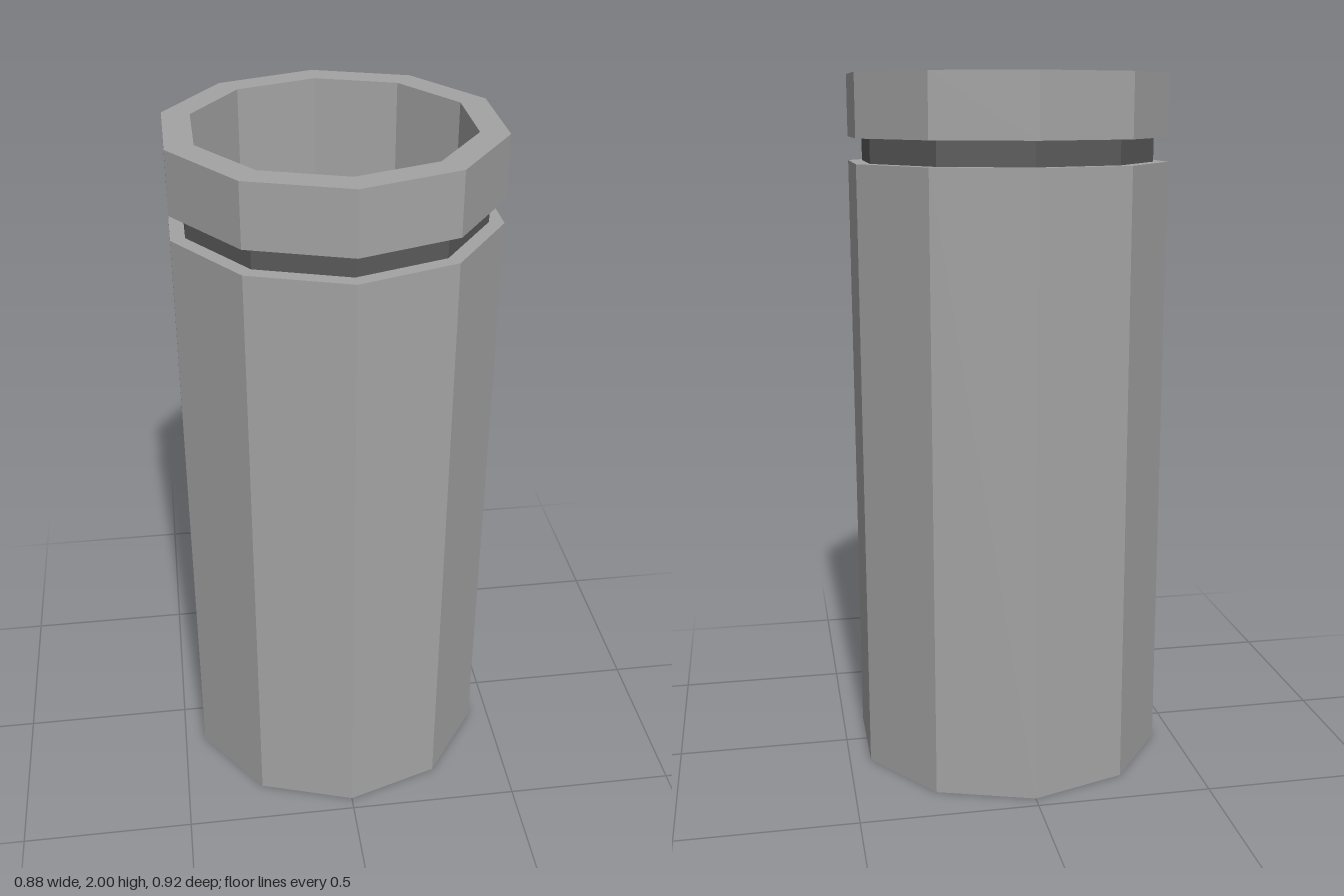
import * as THREE from 'three';

const SIDES = 10;
const OUTER = 0.461, GROOVE = 0.42, INNER = 0.382;
const GROOVE_BOTTOM = 1.758, GROOVE_TOP = 1.826;

export function createModel() {
  const group = new THREE.Group();
  group.name = 'hollowCasing';
  const casing = new THREE.MeshStandardMaterial({ color: 0xa3a3a3, flatShading: true });
  const dark = new THREE.MeshStandardMaterial({ color: 0x595959, flatShading: true });

  // Ten-sided surface turned from a [radius, height] profile
  const addTurned = (name, material, profile) => {
    const points = profile.map(([r, y]) => new THREE.Vector2(r, y));
    const mesh = new THREE.Mesh(new THREE.LatheGeometry(points, SIDES), material);
    mesh.name = name;
    group.add(mesh);
  };

  // Closed base, long wall and lower groove ledge
  addTurned('body', casing, [[0, 0], [OUTER, 0], [OUTER, GROOVE_BOTTOM], [GROOVE, GROOVE_BOTTOM]]);

  // Dark recessed band below the rim
  addTurned('groove', dark, [[GROOVE, GROOVE_BOTTOM], [GROOVE, GROOVE_TOP]]);

  // Rim collar with its flat top
  addTurned('rim', casing, [[GROOVE, GROOVE_TOP], [OUTER, GROOVE_TOP], [OUTER, 2], [INNER, 2]]);

  // Inner wall and floor
  addTurned('cavity', casing, [[INNER, 2], [INNER, 0.08], [0, 0.08]]);

  return group;
}
